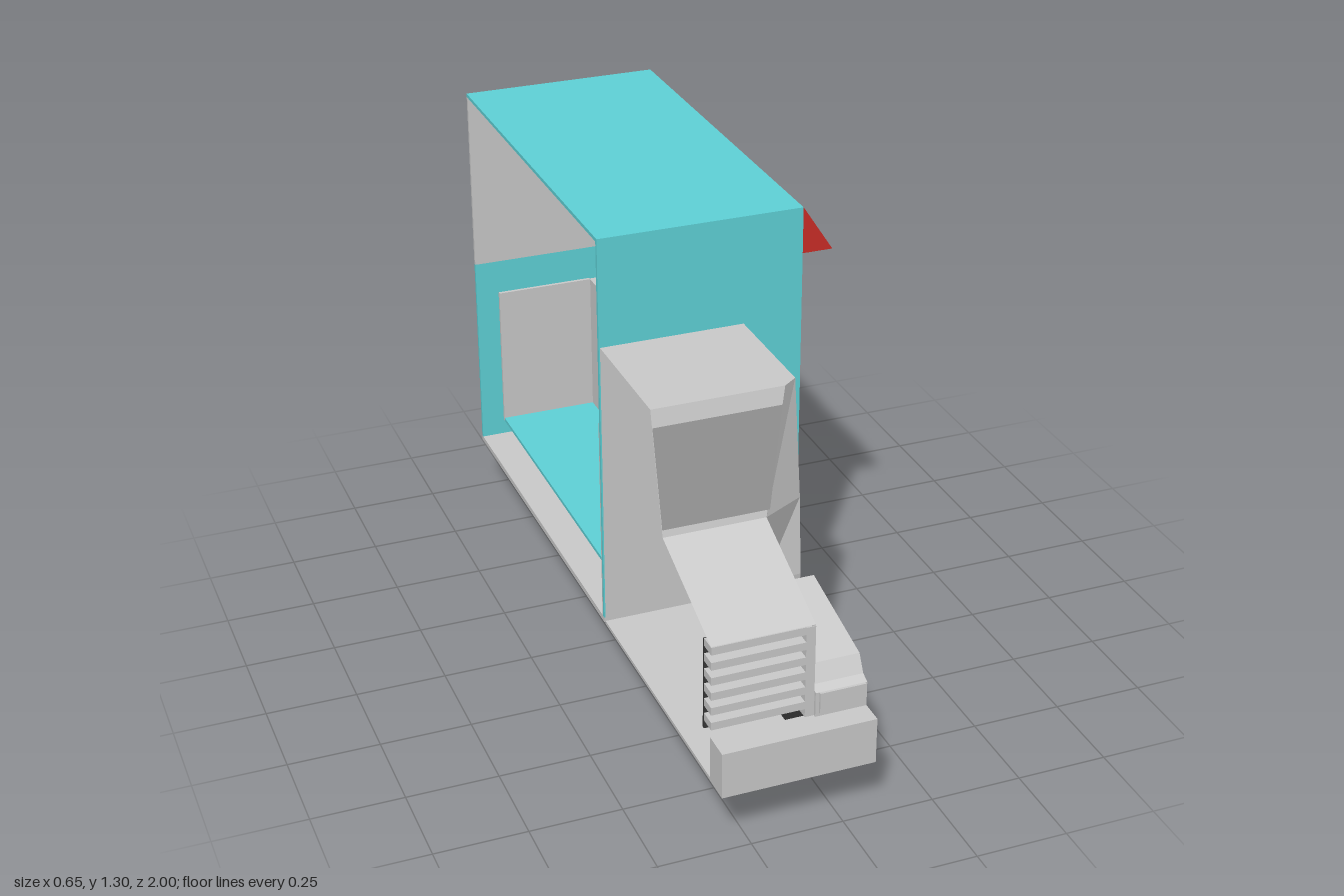
import * as THREE from 'three';

const GREY = 0xcccccc, TEAL = 0x5fd3d8, RED = 0xcc2e28, GLASS = 0x999999, DARK = 0x383838;
const CUT = -0.33; // open side of the half truck

export function createModel() {
  const truck = new THREE.Group();
  truck.name = 'foodTruck';

  const add = (name, geo, color = GREY, parent = truck) => {
    const mat = new THREE.MeshStandardMaterial({ color, side: THREE.DoubleSide });
    const mesh = new THREE.Mesh(geo, mat);
    mesh.name = name;
    parent.add(mesh);
    return mesh;
  };

  // box given by its limits on each axis
  const box = (name, x0, x1, y0, y1, z0, z1, color) => {
    const m = add(name, new THREE.BoxGeometry(x1 - x0, y1 - y0, z1 - z0), color);
    m.position.set((x0 + x1) / 2, (y0 + y1) / 2, (z0 + z1) / 2);
    return m;
  };

  // flat-shaded skin between rows of [x, y, z] points
  const skin = (name, rows, color) => {
    const pos = [];
    for (let i = 0; i + 1 < rows.length; i++) {
      for (let j = 0; j + 1 < rows[i].length; j++) {
        const a = rows[i][j], b = rows[i][j + 1], c = rows[i + 1][j + 1], d = rows[i + 1][j];
        pos.push(...a, ...b, ...c, ...a, ...c, ...d);
      }
    }
    const g = new THREE.BufferGeometry();
    g.setAttribute('position', new THREE.Float32BufferAttribute(pos, 3));
    g.computeVertexNormals();
    return add(name, g, color);
  };

  // side profile of [z, y] points, thickened from x0 to x1
  const sideShape = (name, pts, x0, x1, color) => {
    const shape = new THREE.Shape(pts.map(([z, y]) => new THREE.Vector2(z, y)));
    const g = new THREE.ExtrudeGeometry(shape, { depth: x1 - x0, bevelEnabled: false });
    const m = add(name, g, color);
    m.rotation.y = -Math.PI / 2;
    m.position.x = x1;
    return m;
  };

  // kitchen body: floor, roof and walls, open at the cut
  const R = 0.24, T = 0.01, F = 0.14;
  box('underside', CUT, R, 0.16, 0.175, -1, F);
  box('roof', CUT, R, 1.29, 1.3, -1, F, TEAL);
  box('frontWall', CUT, R, 0.175, 1.29, F - T, F, TEAL);
  box('frontWallLining', CUT, -0.05, 0.175, 0.77, F - 0.015, F - T);
  box('sideWallLower', R - T, R, 0.175, 0.76, -1, F - T, TEAL);
  box('sideWallFrontPost', R - T, R, 0.76, 1.17, 0.05, F - T, TEAL);
  box('sideWallRearPost', R - T, R, 0.76, 1.17, -1, -0.94, TEAL);
  box('sideWallTop', R - T, R, 1.17, 1.29, -1, F - T, TEAL);
  box('serviceWindow', R - T, R, 0.76, 1.17, -0.94, 0.05);
  box('backWallLower', CUT, R - T, 0.175, 0.76, -1, -1 + T, TEAL);
  box('backWallPost', 0.18, R - T, 0.76, 1.17, -1, -1 + T, TEAL);
  box('backWindow', CUT, 0.18, 0.76, 1.17, -1, -1 + T);
  box('backWallTop', CUT, R - T, 1.17, 1.29, -1, -1 + T);

  // interior floor and counters
  box('kitchenFloor', CUT, -0.05, 0.35, 0.36, -0.75, F - 0.015, TEAL);
  box('sideCounterFront', -0.05, -0.04, 0.35, 0.76, -0.75, F - 0.015);
  box('sideCounterTop', -0.05, R - T, 0.76, 0.77, -0.75, F - T);
  box('rearCounterFront', CUT, -0.05, 0.35, 0.77, -0.755, -0.745);

  // awning over the service window
  const awning = new THREE.Shape();
  awning.moveTo(R, 1.3).lineTo(0.325, 1.17).lineTo(R, 1.17).closePath();
  add('awning', new THREE.ExtrudeGeometry(awning, { depth: 1 + F, bevelEnabled: false }), RED)
    .position.z = -1;

  // cab shell: lower corner and door, then windscreen level
  const row = (y, z, xf, zs) => [[CUT, y, z], [xf, y, z], [0.07, y, zs], [0.07, y, 0.15], [CUT, y, 0.15]];
  const low = row(0.16, 0.52, 0.05, 0.515), mid = row(0.46, 0.56, -0.04, 0.55);
  const sill = row(0.68, 0.6, -0.05, 0.535), top = row(1, 0.52, 0.03, 0.49);
  skin('cabLower', [low.slice(1), mid.slice(1), sill.slice(1)]);
  skin('cabUpper', [sill, top]);
  skin('cabRoof', [[top[0], top[1], top[2]], [[CUT, 1, 0.15], [0.03, 1, 0.15], [0.07, 1, 0.15]]]);
  skin('windscreen', [
    [[CUT, 0.70, 0.598], [-0.04, 0.70, 0.598]],
    [[CUT, 0.955, 0.534], [0.018, 0.955, 0.534]],
  ], GLASS);
  sideShape('doorWindow', [[0.19, 0.70], [0.52, 0.70], [0.475, 0.955], [0.19, 0.955]], 0.068, 0.073, GLASS);
  box('cabUnderside', CUT, 0.07, 0.16, 0.17, 0.15, 0.52);
  box('engineUnderside', CUT, -0.06, 0.16, 0.17, 0.52, 0.92);

  // bonnet top and side, with the wheel arch cut out of the side
  skin('bonnetTop', [
    [[CUT, 0.68, 0.6], [-0.05, 0.68, 0.6]],
    [[CUT, 0.555, 0.925], [-0.055, 0.555, 0.925]],
  ]);
  const W = 0.735, arch = [];
  for (let i = 0; i <= 12; i++) {
    const a = Math.PI * i / 12;
    arch.push([W + 0.185 * Math.cos(a), 0.18 + 0.185 * Math.sin(a)]);
  }
  sideShape('bonnetSide', [[0.53, 0.16], [0.55, 0.16], ...arch.reverse(), [0.925, 0.16],
    [0.925, 0.555], [0.6, 0.68], [0.57, 0.6]], -0.065, -0.055);

  // grille: frame, slats and dark gaps
  box('grillePost', -0.08, -0.055, 0.29, 0.552, 0.87, 0.927);
  box('grilleBacking', CUT, -0.08, 0.29, 0.55, 0.872, 0.88, DARK);
  for (let i = 0; i < 6; i++) {
    const y = 0.325 + i * 0.0435;
    box('grilleSlat', CUT, -0.08, y - 0.011, y + 0.011, 0.88, 0.927);
  }

  // fender sweeping over the front wheel, headlight and bumper
  sideShape('frontFender', [[0.935, 0.29], [0.935, 0.36], [0.91, 0.37], [0.885, 0.415], [0.6, 0.48],
    [0.565, 0.455], [0.515, 0.16], [0.535, 0.16], [0.575, 0.425], [0.84, 0.375], [0.885, 0.33],
    [0.905, 0.29]], -0.055, 0.085);
  box('headlight', -0.045, 0.08, 0.30, 0.36, 0.93, 0.942);
  box('bumper', CUT, 0.085, 0.16, 0.29, 0.92, 1);

  // wheels: tyre, rim and hub turned about the axle
  const wheel = (name, x0, x1, z) => {
    const g = new THREE.Group();
    g.name = name;
    const w = x1 - x0;
    const lathe = (part, pts, color) =>
      add(part, new THREE.LatheGeometry(pts.map(p => new THREE.Vector2(...p)), 40), color, g);
    lathe('tyre', [[0, 0], [0.15, 0], [0.168, 0.01], [0.175, 0.03], [0.175, w - 0.03],
      [0.168, w - 0.012], [0.15, w - 0.003], [0.11, w - 0.003], [0.105, w - 0.012]], DARK);
    lathe('rim', [[0.108, w - 0.012], [0.1, w - 0.004], [0.07, w - 0.008], [0, w - 0.008]], 0x5aa9d6);
    lathe('hubRing', [[0.05, w - 0.008], [0.047, w + 0.006], [0.03, w + 0.008], [0, w + 0.008]], 0xd9b950);
    lathe('hubCap', [[0.025, w + 0.008], [0.023, w + 0.01], [0, w + 0.01]], GREY);
    g.rotation.z = -Math.PI / 2;
    g.position.set(x0, 0.175, z);
    truck.add(g);
  };
  wheel('frontWheel', -0.06, 0.082, W);
  wheel('rearWheel', 0.1, 0.238, -0.6);

  return truck;
}
